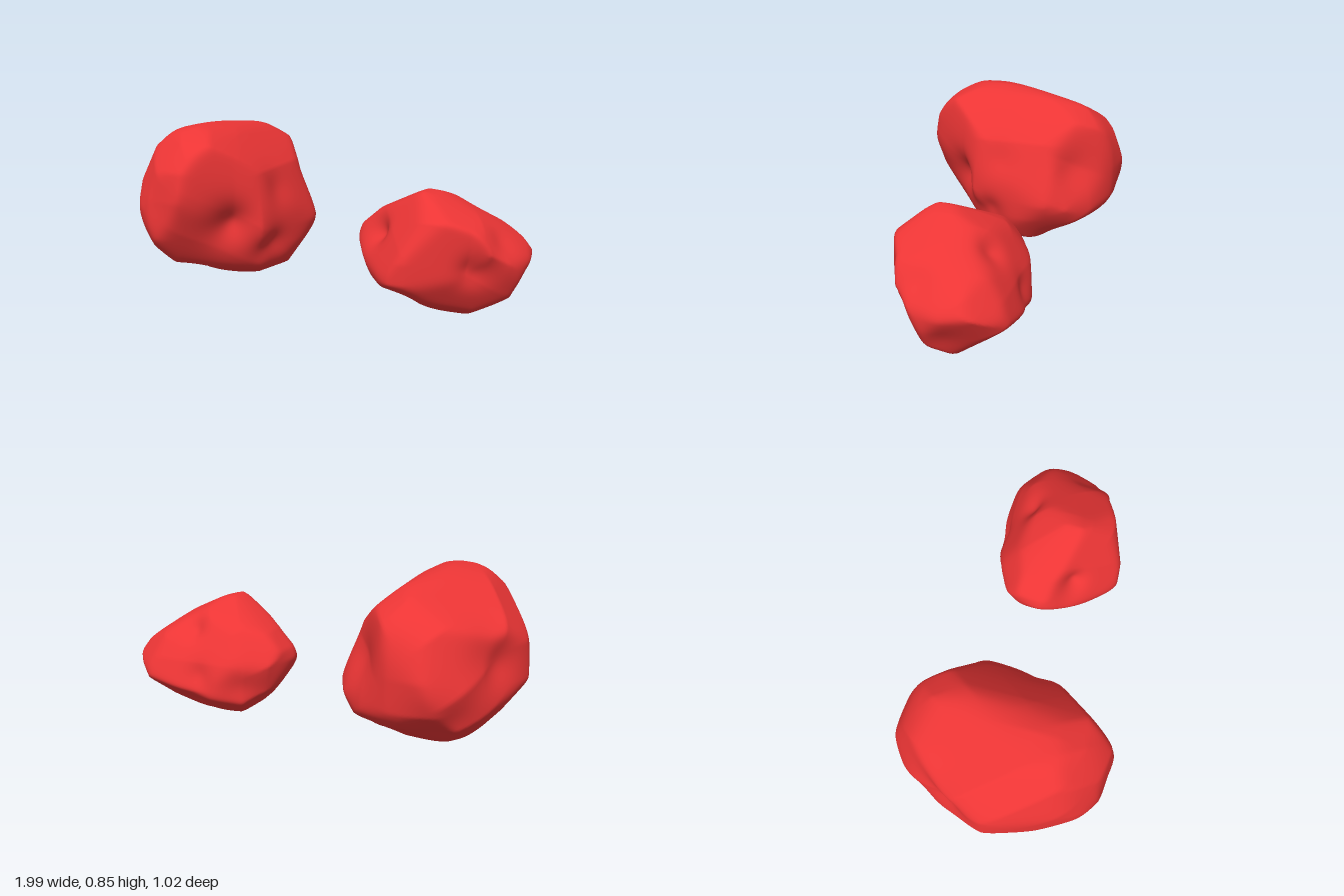
import * as THREE from 'three';
import { mergeVertices } from 'three/addons/utils/BufferGeometryUtils.js';

const MIDDLE = new THREE.Vector3(0, 0.42, 0);

// Direction a profile is drawn in: azimuth from +z towards +x, and elevation, in degrees
function plane(azimuth, elevation) {
  const a = THREE.MathUtils.degToRad(azimuth), e = THREE.MathUtils.degToRad(elevation);
  return {
    right: new THREE.Vector3(Math.cos(a), 0, -Math.sin(a)),
    up: new THREE.Vector3(-Math.sin(a) * Math.sin(e), Math.cos(e), -Math.cos(a) * Math.sin(e)),
  };
}
const PLANES = {
  front: plane(0, 0), side: plane(90, 0), top: plane(0, 90),
  diagonal: plane(35, 25), backDiagonal: plane(215, 25), under: plane(140, -28),
};

// Distance from the origin to a closed outline along (dx, dy)
function outlineReach(points, dx, dy) {
  for (let i = 0; i < points.length; i++) {
    const [ax, ay] = points[i], [bx, by] = points[(i + 1) % points.length];
    const turn = Math.sign(ax * by - ay * bx);
    if ((ax * dy - ay * dx) * turn >= 0 && (dx * by - dy * bx) * turn >= 0) {
      const ex = bx - ax, ey = by - ay;
      const t = (ax * ey - ay * ex) / (dx * ey - dy * ex);
      if (t > 0) return t;
    }
  }
  return Infinity;
}

// A boulder: the soft intersection of its profiles, pressed in by round dents
function boulder(name, { center, profiles, dents }, material) {
  const c = new THREE.Vector3(...center);
  const shift = c.clone().sub(MIDDLE);
  const outlines = Object.entries(profiles).map(([key, flat]) => {
    const { right, up } = PLANES[key];
    const origin = ['front', 'side', 'top'].includes(key) ? c : shift;
    const points = [];
    for (let i = 0; i < flat.length; i += 2) {
      points.push([flat[i] - origin.dot(right), flat[i + 1] - origin.dot(up)]);
    }
    return { right, up, points };
  });
  const hollows = dents.map(([x, y, z, width, depth]) => ({
    dir: new THREE.Vector3(x, y, z).sub(c).normalize(), width, depth,
  }));

  let geometry = new THREE.IcosahedronGeometry(1, 40);
  geometry.deleteAttribute('uv');
  geometry.deleteAttribute('normal');
  geometry = mergeVertices(geometry, 1e-5);
  const pos = geometry.attributes.position, d = new THREE.Vector3();
  const softness = 32, swell = 1.03;
  for (let i = 0; i < pos.count; i++) {
    d.fromBufferAttribute(pos, i).normalize();
    let sum = 0;
    for (const { right, up, points } of outlines) {
      sum += outlineReach(points, d.dot(right), d.dot(up)) ** -softness;
    }
    let r = swell * sum ** (-1 / softness);
    for (const h of hollows) r -= h.depth * Math.exp(-((d.angleTo(h.dir) / h.width) ** 2));
    d.multiplyScalar(r).add(c);
    pos.setXYZ(i, d.x, d.y, d.z);
  }
  geometry.computeVertexNormals();
  const mesh = new THREE.Mesh(geometry, material);
  mesh.name = name;
  return mesh;
}

// Profiles: side is (-z, y), top is (x, -z); dents: x, y, z, angular width, depth
const LARGE = {
  center: [-0.58, 0.44, 0],
  profiles: {
    front: [-0.58, 0.84, -0.43, 0.8, -0.28, 0.62, -0.165, 0.32, -0.19, 0.23, -0.27, 0.1, -0.46, 0.04,
      -0.62, 0.06, -0.77, 0.12, -0.9, 0.25, -0.995, 0.38, -0.98, 0.56, -0.93, 0.69, -0.82, 0.78],
    side: [-0.515, 0.51, -0.48, 0.65, -0.38, 0.79, -0.26, 0.835, -0.13, 0.84, 0.31, 0.79, 0.42, 0.71,
      0.515, 0.46, 0.49, 0.3, 0.42, 0.2, 0.1, 0.035, -0.05, 0.045, -0.38, 0.16, -0.5, 0.31],
    top: [-0.995, 0, -0.9, 0.31, -0.84, 0.43, -0.7, 0.525, -0.5, 0.48, -0.35, 0.41, -0.22, 0.32, -0.165, 0.21,
      -0.25, -0.2, -0.35, -0.29, -0.53, -0.515, -0.72, -0.49, -0.84, -0.42],
    diagonal: [-0.68, 0.48, -0.23, 0.56, -0.13, 0.48, -0.09, 0.28, 0, 0.05, -0.17, -0.19,
      -0.33, -0.24, -0.75, -0.2, -0.84, -0.1, -0.92, 0.06, -0.89, 0.22, -0.81, 0.37],
    backDiagonal: [0, -0.27, 0.04, -0.07, 0.12, 0.07, 0.42, 0.27, 0.56, 0.33, 0.69, 0.31, 0.82, 0.2,
      0.92, 0.01, 0.88, -0.24, 0.61, -0.49, 0.44, -0.53, 0.18, -0.45, 0.04, -0.37],
    under: [0.05, -0.21, 0.11, 0.05, 0.3, 0.17, 0.47, 0.26, 0.62, 0.26, 0.79, 0.14, 0.89, -0.11,
      0.85, -0.29, 0.7, -0.46, 0.41, -0.56, 0.26, -0.57, 0.14, -0.39],
  },
  dents: [
    [-0.36, 0.37, 0.32, 0.28, 0.075], [-0.19, 0.53, 0.08, 0.28, 0.02], [-0.3, 0.48, -0.36, 0.28, 0.03],
    [-0.91, 0.51, -0.23, 0.36, 0.065], [-0.71, 0.26, -0.37, 0.28, 0.04], [-0.27, 0.235, 0.1, 0.22, 0.05],
    [-0.41, 0.16, -0.19, 0.26, 0.035], [-0.7, 0.1, 0.25, 0.32, 0.035], [-0.68, 0.52, 0.4, 0.3, 0.02],
  ],
};

const SMALL = {
  center: [0.58, 0.3, -0.02],
  profiles: {
    front: [0.165, 0.33, 0.19, 0.38, 0.28, 0.46, 0.53, 0.6, 0.6, 0.585, 0.86, 0.46, 0.93, 0.39, 1.01, 0.28,
      1, 0.21, 0.94, 0.1, 0.83, 0.02, 0.71, -0.01, 0.53, 0.01, 0.37, 0.04, 0.23, 0.17],
    side: [-0.08, 0.6, 0, 0.6, 0.17, 0.53, 0.3, 0.32, 0.365, 0.17, 0.23, 0.07, 0.14, 0.01,
      0.02, -0.01, -0.17, 0.08, -0.31, 0.21, -0.31, 0.31, -0.23, 0.49, -0.13, 0.57],
    top: [0.165, 0.04, 0.21, 0.22, 0.32, 0.28, 0.46, 0.33, 0.66, 0.375, 0.83, 0.34, 0.95, 0.275, 1.01, 0.2,
      1, 0.09, 0.95, -0.07, 0.89, -0.15, 0.79, -0.17, 0.53, -0.3, 0.45, -0.315, 0.36, -0.27, 0.19, -0.04],
    diagonal: [0.13, -0.23, 0.14, -0.07, 0.25, 0.01, 0.43, 0.03, 0.57, 0.01, 0.79, -0.12,
      0.91, -0.27, 0.77, -0.49, 0.6, -0.54, 0.33, -0.49, 0.18, -0.42],
    backDiagonal: [-0.93, 0.04, -0.87, 0.12, -0.62, 0.27, -0.38, 0.33, -0.25, 0.16, -0.13, -0.04,
      -0.31, -0.26, -0.43, -0.3, -0.59, -0.25, -0.88, -0.09],
    under: [-0.78, 0.16, -0.65, 0.3, -0.36, 0.35, -0.18, 0.24, -0.03, 0.06, -0.06, -0.07,
      -0.18, -0.15, -0.45, -0.19, -0.58, -0.18, -0.71, 0.02],
  },
  dents: [
    [0.34, 0.38, 0.09, 0.22, 0.045], [0.84, 0.27, 0.17, 0.28, 0.045], [0.66, 0.48, -0.22, 0.27, 0.035],
    [0.45, 0.12, 0.15, 0.3, 0.025], [0.93, 0.39, 0.04, 0.22, 0.018], [0.35, 0.2, -0.23, 0.3, 0.035],
    [0.56, 0.24, -0.31, 0.24, 0.03], [0.65, 0.12, -0.16, 0.28, 0.03], [0.9, 0.19, -0.06, 0.24, 0.015],
  ],
};

export function createModel() {
  const group = new THREE.Group();
  group.name = 'boulders';
  const material = new THREE.MeshStandardMaterial({ color: 0xec3535 });
  group.add(boulder('largeBoulder', LARGE, material), boulder('smallBoulder', SMALL, material));
  return group;
}
